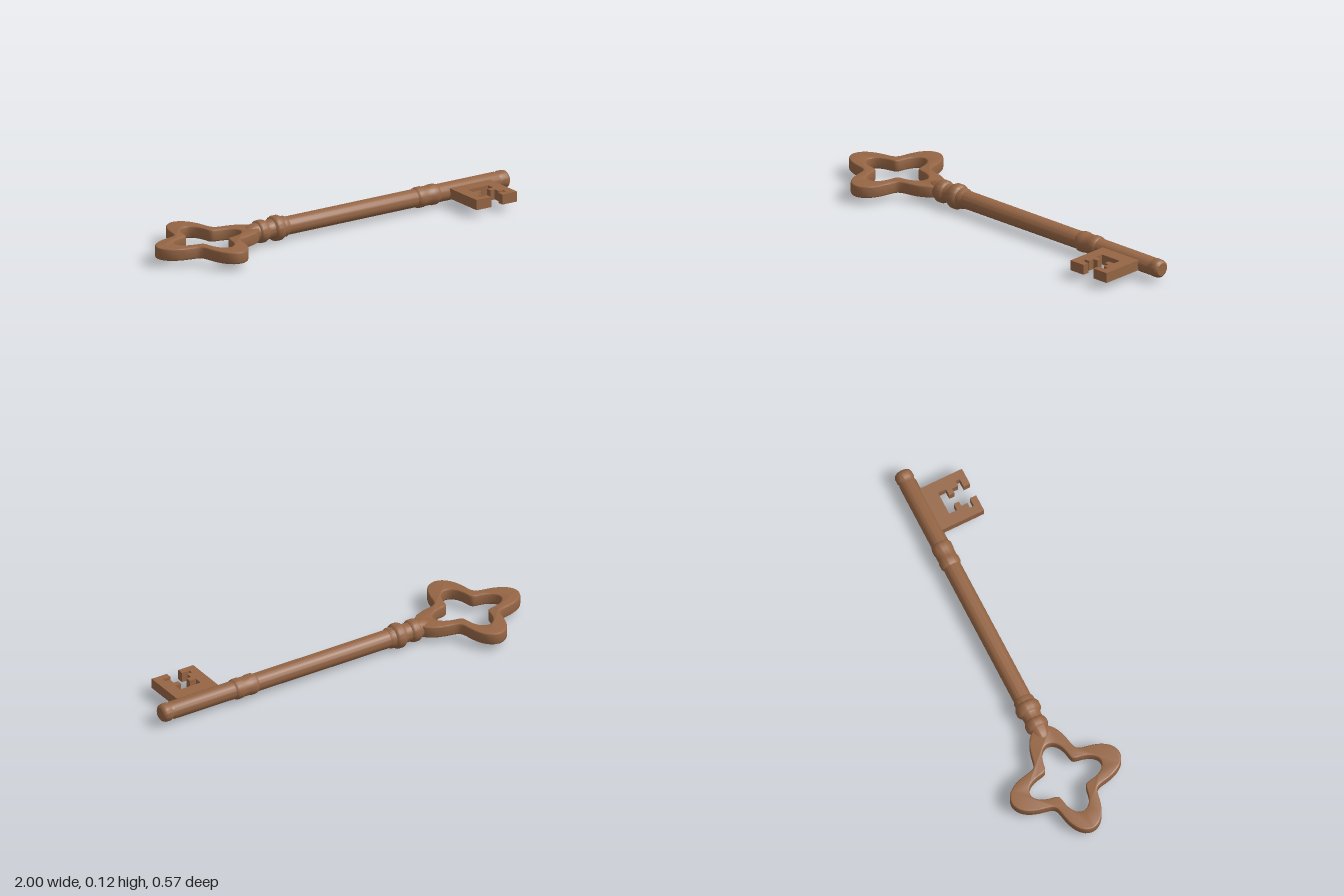
import * as THREE from 'three';
import { toCreasedNormals } from 'three/addons/utils/BufferGeometryUtils.js';

const AXIS_Y = 0.0615;

export function createModel() {
  const key = new THREE.Group();
  key.name = 'key';
  const bronze = new THREE.MeshStandardMaterial({ color: 0x966645 });
  bronze.name = 'bronze';

  function add(name, geometry, crease = 0.6) {
    const mesh = new THREE.Mesh(toCreasedNormals(geometry, crease), bronze);
    mesh.name = name;
    key.add(mesh);
    return mesh;
  }

  // Solid of revolution along x from [x, radius] pairs
  function turned(name, profile) {
    const geo = new THREE.LatheGeometry(profile.map(([x, r]) => new THREE.Vector2(r, x)), 40);
    return add(name, geo.rotateZ(-Math.PI / 2).translate(0, AXIS_Y, 0));
  }

  // Flat plate lying in the xz plane, centred on the axis height
  function plate(name, shape, thickness, bevel) {
    const geo = new THREE.ExtrudeGeometry(shape, {
      depth: thickness - 2 * bevel, bevelEnabled: bevel > 0,
      bevelThickness: bevel, bevelSize: bevel, bevelOffset: -bevel, bevelSegments: 3,
    });
    geo.rotateX(Math.PI / 2).translate(0, AXIS_Y + thickness / 2 - bevel, 0);
    return add(name, geo);
  }

  // Four-lobed closed curve around the bow centre
  function lobes(mean, swing, count = 96) {
    const points = [];
    for (let i = 0; i < count; i++) {
      const a = (i / count) * Math.PI * 2;
      const r = mean + swing * Math.cos(4 * a);
      points.push(new THREE.Vector2(-0.715 + r * Math.cos(a), r * Math.sin(a)));
    }
    return points;
  }

  // Bow: quatrefoil handle with a matching opening
  const bow = new THREE.Shape(lobes(0.222, 0.063));
  bow.holes.push(new THREE.Path(lobes(0.144, 0.042)));
  plate('bow', bow, 0.059, 0.007);

  // Neck: tapered tip joining the bow, then turned rings
  turned('neck', [
    [-0.515, 0], [-0.512, 0.012], [-0.5, 0.026], [-0.48, 0.036], [-0.455, 0.044], [-0.435, 0.046],
    [-0.432, 0.051], [-0.424, 0.055], [-0.4, 0.055], [-0.39, 0.051], [-0.385, 0.046],
    [-0.365, 0.045], [-0.35, 0.049], [-0.345, 0.056], [-0.334, 0.061], [-0.31, 0.061],
    [-0.3, 0.056], [-0.295, 0.05], [-0.275, 0.05], [-0.265, 0.044], [-0.25, 0.04], [-0.25, 0],
  ]);

  // Shaft with a rounded end
  turned('shaft', [
    [-0.27, 0], [-0.27, 0.044], [0.935, 0.043], [0.942, 0.04], [0.95, 0.04],
    [0.957, 0.044], [0.982, 0.044], [0.993, 0.04], [1, 0.031], [1, 0],
  ]);

  // Double collar ahead of the bit
  turned('collar', [
    [0.468, 0.04], [0.475, 0.046], [0.485, 0.05], [0.51, 0.05], [0.52, 0.047],
    [0.55, 0.047], [0.56, 0.05], [0.585, 0.05], [0.595, 0.046], [0.602, 0.04],
  ]);

  // Bit: square plate with a stepped slot; [half width, z] from the mouth inwards
  const mid = 0.766;
  const steps = [
    [0.032, 0.257], [0.032, 0.224], [0.074, 0.224], [0.074, 0.203], [0.048, 0.203],
    [0.048, 0.171], [0.024, 0.171], [0.024, 0.144], [0.058, 0.144], [0.058, 0.103],
  ];
  const outline = [
    [mid - 0.116, 0.02], [mid + 0.116, 0.02], [mid + 0.116, 0.257],
    ...steps.map(([w, z]) => [mid + w, z]),
    ...steps.slice().reverse().map(([w, z]) => [mid - w, z]),
    [mid - 0.116, 0.257],
  ];
  plate('bit', new THREE.Shape(outline.map(([x, z]) => new THREE.Vector2(x, z))), 0.05, 0);

  return key;
}
